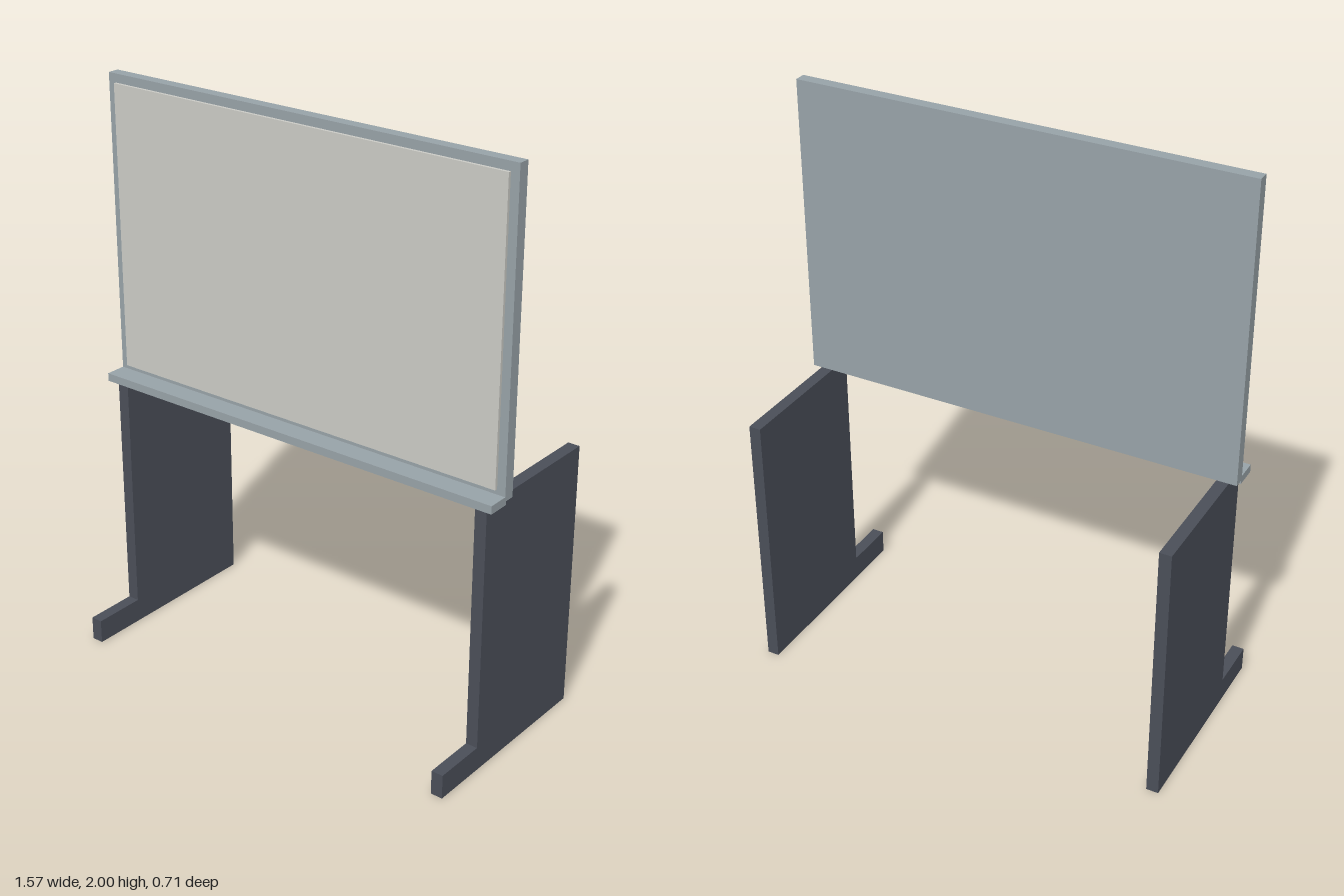
import * as THREE from 'three';

export function createModel() {
  const model = new THREE.Group();
  model.name = 'boardStand';

  const mat = (name, color) => {
    const m = new THREE.MeshStandardMaterial({ color });
    m.name = name;
    return m;
  };
  const frameGrey = mat('frameGrey', 0x97a2a7);
  const boardCream = mat('boardCream', 0xcacac4);
  const legCharcoal = mat('legCharcoal', 0x4a4e58);

  // Box given by its lower and upper corners
  const box = (name, material, [x0, y0, z0], [x1, y1, z1]) => {
    const mesh = new THREE.Mesh(new THREE.BoxGeometry(x1 - x0, y1 - y0, z1 - z0), material);
    mesh.position.set((x0 + x1) / 2, (y0 + y1) / 2, (z0 + z1) / 2);
    mesh.name = name;
    model.add(mesh);
  };

  // Backing board, raised writing surface and tray
  box('frame', frameGrey, [-0.787, 0.95, 0.075], [0.787, 2, 0.115]);
  box('writingSurface', boardCream, [-0.757, 0.982, 0.115], [0.757, 1.97, 0.125]);
  box('tray', frameGrey, [-0.787, 0.937, 0.11], [0.787, 0.965, 0.188]);

  // L-shaped side panels with a foot toward the front
  const thickness = 0.042;
  const profile = new THREE.Shape([
    [-0.357, 0], [0.357, 0], [0.357, 0.085], [0.168, 0.085], [0.168, 0.947], [-0.357, 0.947],
  ].map(([z, y]) => new THREE.Vector2(-z, y)));
  const legGeometry = new THREE.ExtrudeGeometry(profile, { depth: thickness, bevelEnabled: false });
  legGeometry.translate(0, 0, -thickness / 2);
  legGeometry.rotateY(Math.PI / 2);
  for (const side of [-1, 1]) {
    const leg = new THREE.Mesh(legGeometry, legCharcoal);
    leg.position.x = side * 0.737;
    leg.name = side > 0 ? 'leftLeg' : 'rightLeg';
    model.add(leg);
  }

  return model;
}
